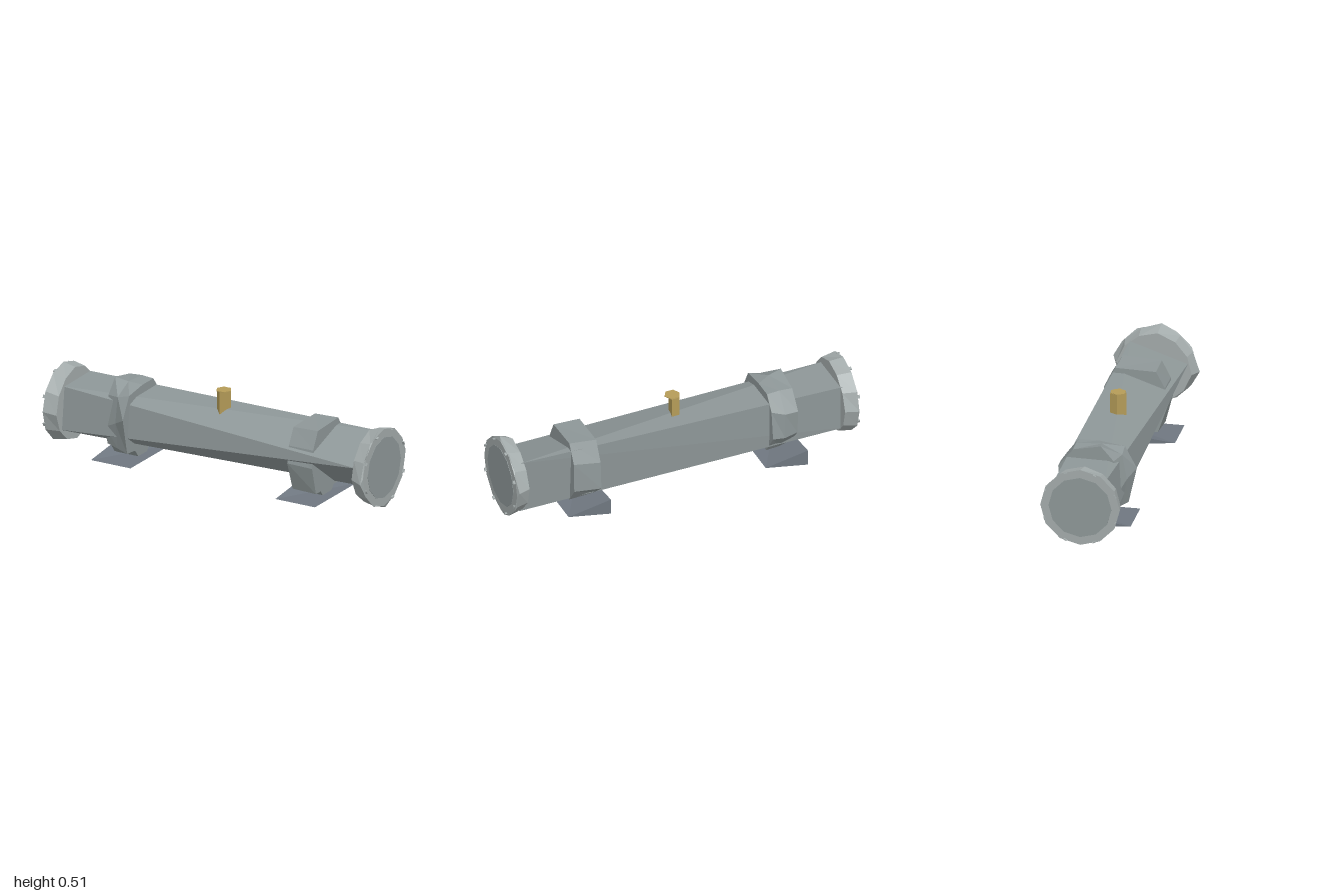
import * as THREE from 'three';

const steel = paint(0x8e9798), plate = paint(0xa3abab), base = paint(0x6f7780), brass = paint(0xb59c58);
const CY = 0.26; // height of the tank axis

function paint(color) {
  return new THREE.MeshStandardMaterial({ color, flatShading: true, side: THREE.DoubleSide });
}

function mesh(name, geometry, material) {
  const m = new THREE.Mesh(geometry, material);
  m.name = name;
  return m;
}

// Solid skinned between sections [x, [[z, y], ...]], corners running top, +z, bottom, -z.
// A corner may be repeated to merge edges at one end.
function loft(sections) {
  const pos = [];
  const same = (p, q) => p.every((v, k) => v === q[k]);
  const tri = (a, b, c) => {
    if (!same(a, b) && !same(b, c) && !same(c, a)) pos.push(...a, ...b, ...c);
  };
  const rings = sections.map(([x, pts]) => pts.map(([z, y]) => [x, y, z]));
  const n = rings[0].length;
  const middle = (ring) => [0, 1, 2].map((k) => ring.reduce((s, p) => s + p[k], 0) / n);
  const first = rings[0], last = rings[rings.length - 1];
  for (let i = 0; i < n; i++) {
    const j = (i + 1) % n;
    for (let s = 0; s < rings.length - 1; s++) {
      const a = rings[s], b = rings[s + 1];
      tri(a[i], a[j], b[j]);
      tri(a[i], b[j], b[i]);
    }
    tri(middle(first), first[j], first[i]);
    tri(middle(last), last[i], last[j]);
  }
  const g = new THREE.BufferGeometry();
  g.setAttribute('position', new THREE.Float32BufferAttribute(pos, 3));
  g.computeVertexNormals();
  return g;
}

// Twelve-cornered outline with every third corner pushed out, turned by twist
function rim(radius, bump, twist) {
  return Array.from({ length: 12 }, (_, i) => {
    const a = (i / 12) * Math.PI * 2 + twist;
    const r = radius + (i % 3 ? 0 : bump);
    return [Math.sin(a) * r, CY + Math.cos(a) * r];
  });
}

function endFlange(side) {
  const group = new THREE.Group();
  group.name = side > 0 ? 'leftFlange' : 'rightFlange';
  const sections = side > 0
    ? [[0.91, rim(0.197, 0.008, 0.1)], [0.98, rim(0.213, 0.022, 0.12)], [0.988, rim(0.217, 0, 0)]]
    : [[-0.988, rim(0.215, 0, 0)], [-0.91, rim(0.2, 0.004, 0.05)]];
  group.add(mesh('flangeRim', loft(sections), plate));

  const disc = mesh('endPlate', new THREE.CylinderGeometry(0.17, 0.17, 0.004, 12), steel);
  disc.rotation.z = Math.PI / 2;
  disc.position.set(side * 0.988, CY, 0);
  group.add(disc);

  // Bolt heads around the rim
  for (let i = 0; i < 8; i++) {
    const a = ((i + 0.5) / 8) * Math.PI * 2;
    const bolt = mesh('bolt', new THREE.BoxGeometry(0.02, 0.006, 0.018), plate);
    bolt.position.set(side * 0.99, CY + Math.cos(a) * 0.205, Math.sin(a) * 0.205);
    bolt.rotation.x = a;
    group.add(bolt);
  }
  return group;
}

// Wedge foot: a flat sheet whose rear corner on the low-x side opens into a tall edge
function foot(x) {
  const x0 = x - 0.122, x1 = x + 0.122, z = 0.212, y = 0.045;
  const front = [x0, y, z], frontB = [x1, y, z], back = [x1, y, -z];
  const top = [x0, 0.09, -z], low = [x0, 0, -z];
  const faces = [
    front, frontB, back, front, back, top, // top
    front, back, frontB, front, low, back, // underside
    top, back, low, front, top, low, // rear and side
  ];
  const g = new THREE.BufferGeometry();
  g.setAttribute('position', new THREE.Float32BufferAttribute(faces.flat(), 3));
  g.computeVertexNormals();
  return mesh('foot', g, base);
}

// Narrow block between a foot and its band
function saddle(x) {
  const section = [[-0.1, 0.12], [0.1, 0.12], [0.045, 0.05], [-0.045, 0.05]];
  return mesh('saddle', loft([[x - 0.075, section], [x + 0.07, section]]), steel);
}

// Uneven four-sided stem under a six-sided cap
function nozzle() {
  const group = new THREE.Group();
  group.name = 'nozzle';
  const outline = [[-0.043, 0], [0, -0.043], [0.02, 0.043], [-0.025, 0.04]];
  const shape = new THREE.Shape(outline.map(([x, y]) => new THREE.Vector2(x, y)));
  const stem = mesh('nozzleStem', new THREE.ExtrudeGeometry(shape, { depth: 0.135, bevelEnabled: false }), brass);
  stem.rotation.x = -Math.PI / 2;
  stem.position.y = 0.373;
  const cap = mesh('nozzleCap', new THREE.CylinderGeometry(0.043, 0.043, 0.004, 6), brass);
  cap.rotation.y = Math.PI / 6;
  cap.position.y = 0.508;
  group.add(stem, cap);
  return group;
}

export function createModel() {
  const model = new THREE.Group();
  model.name = 'pressureTank';

  // Body: four corners at one end twisting into three at the other
  const body = loft([
    [-0.93, [[0.12, 0.388], [0.145, 0.15], [-0.145, 0.13], [-0.145, 0.392], [0.12, 0.388]]],
    [0.93, [[0.183, 0.3], [0.183, 0.3], [-0.11, 0.085], [-0.13, 0.405], [-0.13, 0.405]]],
  ]);
  model.add(mesh('tankBody', body, steel));

  // Strap bands over the supports
  model.add(mesh('rightBand', loft([
    [-0.645, [[0.04, 0.47], [0.11, 0.39], [0.14, 0.22], [0.12, 0.12], [-0.1, 0.1], [-0.18, 0.2], [-0.19, 0.34], [-0.11, 0.44]]],
    [-0.57, [[0.03, 0.455], [0.14, 0.4], [0.165, 0.26], [0.14, 0.11], [-0.1, 0.08], [-0.19, 0.19], [-0.19, 0.34], [-0.11, 0.445]]],
    [-0.5, [[0.0, 0.44], [0.14, 0.42], [0.205, 0.3], [0.16, 0.1], [-0.1, 0.075], [-0.19, 0.2], [-0.17, 0.36], [-0.11, 0.44]]],
  ]), steel));
  model.add(mesh('leftBand', loft([
    [0.49, [[0.1, 0.425], [0.148, 0.335], [0.165, 0.24], [0.11, 0.08], [-0.1, 0.08], [-0.19, 0.16], [-0.18, 0.32], [-0.12, 0.43]]],
    [0.64, [[0.1, 0.43], [0.148, 0.335], [0.16, 0.235], [0.12, 0.08], [-0.11, 0.08], [-0.175, 0.17], [-0.17, 0.34], [-0.11, 0.44]]],
  ]), steel));

  for (const x of [-0.57, 0.567]) model.add(foot(x), saddle(x));
  for (const side of [-1, 1]) model.add(endFlange(side));
  model.add(nozzle());

  return model;
}
